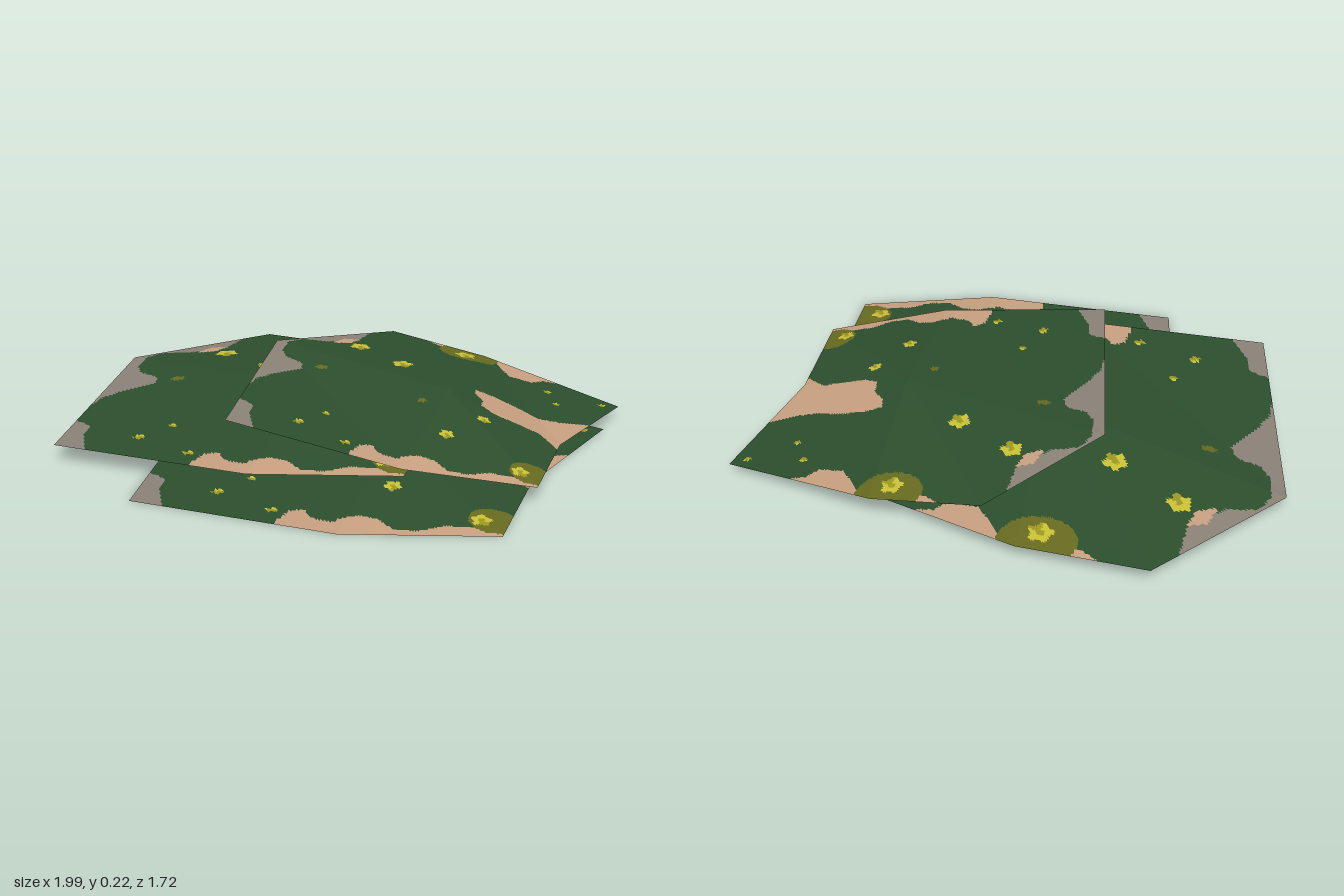
import * as THREE from 'three';

const material = (name, color) =>
  new THREE.MeshStandardMaterial({ name, color, side: THREE.DoubleSide });

// Sheet outline on a 3 x 3 grid, back row first; only the middle is raised
const GRID = [
  [[-0.465, 0, -0.77], [0, 0, -0.725], [0.675, 0, -0.49]],
  [[-0.89, 0, -0.3], [0, 0.084, 0], [0.52, 0, 0.1]],
  [[-0.755, 0, 0.685], [0, 0, 0.72], [0.52, 0, 0.57]],
].map((row) => row.map((p) => new THREE.Vector3(...p)));

// Bare patches along the borders, in sheet coordinates (x, z)
const GREY_EDGE = [
  [-0.55, -0.675], [-0.565, -0.525], [-0.69, -0.41], [-0.795, -0.39], [-0.835, -0.32],
  [-0.83, -0.205], [-0.795, -0.14], [-0.7, -0.1], [-0.68, -0.045], [-0.725, 0.035],
  [-0.805, 0.17], [-0.81, 0.29], [-0.785, 0.435], [-0.715, 0.475], [-0.7, 0.555],
  [-0.63, 0.69], [-0.8, 0.9], [-1, 0.8], [-1, -0.35], [-0.6, -0.9],
];
const TAN_PATCHES = [
  [[-0.56, -0.53], [-0.585, -0.45], [-0.66, -0.41], [-0.63, -0.5]],
  [[-0.29, -0.755], [-0.24, -0.72], [-0.18, -0.695], [-0.1, -0.7], [-0.1, -0.9], [-0.3, -0.9]],
  [[0.05, -0.7], [0.095, -0.625], [0.16, -0.54], [0.265, -0.53], [0.31, -0.58], [0.39, -0.595],
    [0.4, -0.9], [0.05, -0.9]],
  [[0.6, -0.19], [0.48, -0.14], [0.39, -0.125], [0.265, -0.155], [0.16, -0.165], [0.085, -0.155],
    [0.095, -0.1], [0.145, -0.045], [0.15, 0.025], [0.215, 0.06], [0.42, 0.07], [0.48, 0.12],
    [0.53, 0.165], [0.8, 0.1], [0.8, -0.2]],
  [[-0.225, 0.705], [-0.21, 0.595], [-0.16, 0.565], [-0.125, 0.62], [-0.045, 0.64],
    [0.035, 0.585], [0.105, 0.59], [0.17, 0.635], [0.25, 0.62], [0.32, 0.565],
    [0.395, 0.545], [0.53, 0.54], [0.6, 0.9], [-0.225, 0.9]],
];
// Olive spots: x, z, radius x, radius z
const OLIVE_SPOTS = [
  [-0.07, -0.685, 0.14, 0.11], [0.475, 0.475, 0.09, 0.085],
  [-0.6, -0.08, 0.028, 0.02], [-0.085, 0.125, 0.02, 0.018],
];
// Flowers: x, z, radius
const FLOWERS = [
  [-0.077, -0.65, 0.046], [0.43, 0.49, 0.036], [-0.525, -0.42, 0.046], [-0.28, -0.26, 0.046],
  [-0.425, 0.372, 0.018], [-0.495, 0.515, 0.023], [-0.265, 0.602, 0.021], [0.195, 0.155, 0.029],
  [0.09, 0.365, 0.032], [0.355, -0.46, 0.017], [0.42, -0.34, 0.015], [0.605, -0.455, 0.016],
];

function inside(poly, x, z) {
  let hit = false;
  for (let i = 0, j = poly.length - 1; i < poly.length; j = i++) {
    const [xi, zi] = poly[i], [xj, zj] = poly[j];
    if (zi > z !== zj > z && x < ((xj - xi) * (z - zi)) / (zj - zi) + xi) hit = !hit;
  }
  return hit;
}

// Which painted part covers a point of the sheet
function partAt(x, z) {
  for (const [fx, fz, r] of FLOWERS) {
    const d = Math.hypot(x - fx, z - fz) / r;
    const a = Math.atan2(z - fz, x - fx);
    if (d < 0.92 + 0.14 * Math.sin(5 * a + fx * 9)) {
      return d < 0.3 || (r < 0.025 ? a > -0.4 : a > 0.3 && a < 1.6) ? 'flowerShade' : 'flowerPetals';
    }
  }
  if (OLIVE_SPOTS.some(([ox, oz, rx, rz]) => Math.hypot((x - ox) / rx, (z - oz) / rz) < 1)) return 'oliveSpots';
  if (TAN_PATCHES.some((p) => inside(p, x, z))) return 'tanPatches';
  if (inside(GREY_EDGE, x, z)) return 'greyEdge';
  return 'greenCover';
}

// Cut every facet into small triangles and sort them by painted part
function buildSheetParts() {
  const N = 62;
  const lists = {};
  const add = (...tri) => {
    const x = (tri[0].x + tri[1].x + tri[2].x) / 3;
    const z = (tri[0].z + tri[1].z + tri[2].z) / 3;
    const list = (lists[partAt(x, z)] ??= []);
    for (const p of tri) list.push(p.x, p.y, p.z);
  };
  const facet = (a, b, c) => {
    const at = (i, j) => a.clone()
      .addScaledVector(b.clone().sub(a), i / N)
      .addScaledVector(c.clone().sub(a), j / N);
    for (let i = 0; i < N; i++) {
      for (let j = 0; j < N - i; j++) {
        add(at(i, j), at(i + 1, j), at(i, j + 1));
        if (i + j < N - 1) add(at(i + 1, j), at(i + 1, j + 1), at(i, j + 1));
      }
    }
  };
  for (let r = 0; r < 2; r++) {
    for (let c = 0; c < 2; c++) {
      const corner = GRID[r][c], opposite = GRID[r + 1][c + 1];
      facet(corner, GRID[r + 1][c], opposite);
      facet(corner, opposite, GRID[r][c + 1]);
    }
  }
  return Object.entries(lists).map(([name, list]) => {
    const geometry = new THREE.BufferGeometry();
    geometry.setAttribute('position', new THREE.Float32BufferAttribute(list, 3));
    geometry.computeVertexNormals();
    return [name, geometry];
  });
}

export function createModel() {
  const materials = {
    greenCover: material('leaf green', 0x2c4f2d),
    greyEdge: material('stone grey', 0x8a8076),
    tanPatches: material('earth tan', 0xc79f7f),
    oliveSpots: material('olive', 0x666a1f),
    flowerPetals: material('flower yellow', 0xc9c034),
    flowerShade: material('mustard', 0x9c9522),
  };
  const parts = buildSheetParts();
  const model = new THREE.Group();
  model.name = 'groundCover';

  const addSheet = (name, x, y, z, scale = 1, tilt = 0) => {
    const sheet = new THREE.Group();
    sheet.name = name;
    for (const [part, geometry] of parts) {
      const mesh = new THREE.Mesh(geometry, materials[part]);
      mesh.name = part;
      sheet.add(mesh);
    }
    sheet.position.set(x, y, z);
    sheet.scale.setScalar(scale);
    sheet.rotation.z = tilt;
    model.add(sheet);
  };

  // Three overlapping sheets, the top one smaller and leaning to the side
  addSheet('lowerSheet', 0.29, 0, 0.14);
  addSheet('middleSheet', -0.11, 0.067, -0.09);
  addSheet('upperSheet', 0.415, 0.118, -0.085, 0.867, -0.137);
  return model;
}
